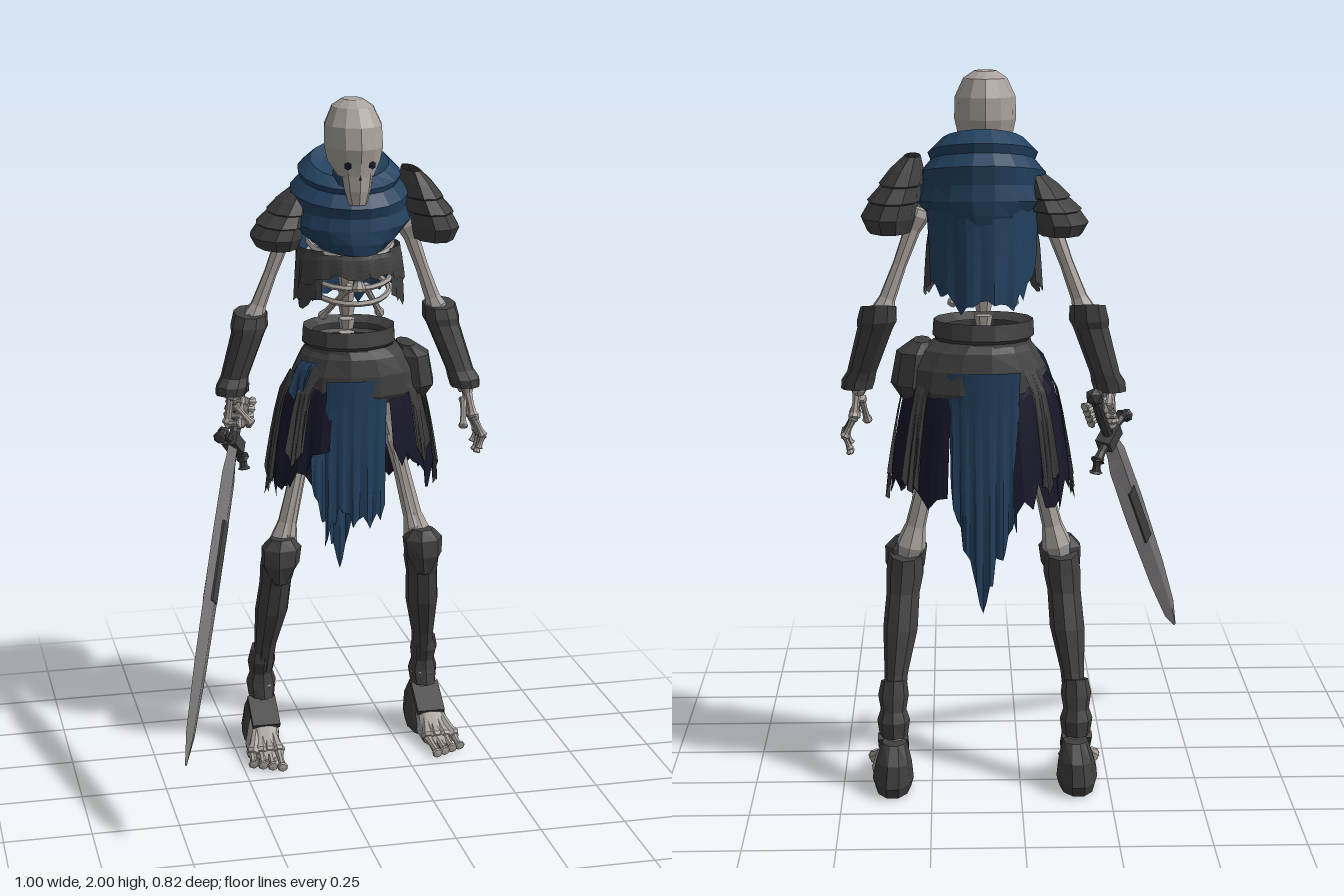
import * as THREE from 'three';

const material = (name, color) => new THREE.MeshStandardMaterial({ name, color, flatShading: true, side: THREE.DoubleSide });
const V = (x, y, z) => new THREE.Vector3(x, y, z);
const CX = 0.1; // the body's own centre line
const CZ = -0.22;

export function createModel() {
  const bone = material('bone', 0xaaa39d);
  const armour = material('dark leather', 0x404041);
  const blue = material('blue cloth', 0x23415f);
  const navy = material('navy cloth', 0x17172b);
  const steel = material('blade steel', 0x757274);
  const root = new THREE.Group();
  let seed = 7;
  const rnd = () => (seed = (seed * 16807) % 2147483647) / 2147483647;

  const add = (name, geometry, mat, parent = root) => {
    const mesh = new THREE.Mesh(geometry, mat);
    mesh.name = name;
    parent.add(mesh);
    return mesh;
  };

  // Surface through a grid of points, point(row, column)
  const grid = (rows, cols, point) => {
    const pos = [], idx = [];
    for (let i = 0; i <= rows; i++) for (let j = 0; j <= cols; j++) pos.push(...point(i, j));
    for (let i = 0; i < rows; i++) for (let j = 0; j < cols; j++) {
      const a = i * (cols + 1) + j, c = a + cols + 1;
      idx.push(a, a + 1, c, a + 1, c + 1, c);
    }
    const g = new THREE.BufferGeometry();
    g.setAttribute('position', new THREE.Float32BufferAttribute(pos, 3));
    g.setIndex(idx);
    g.computeVertexNormals();
    return g;
  };

  // Loft through elliptical rings from top to bottom: [x, y, z, rx, rz, tilt]
  const loft = (name, mat, rings, n = 10, capped = true, parent = root) => {
    const s = [...rings];
    if (capped) {
      const [t, b] = [s[0], s[s.length - 1]];
      s.unshift([t[0], t[1], t[2], 0, 0]);
      s.push([b[0], b[1], b[2], 0, 0]);
    }
    return add(name, grid(s.length - 1, n, (i, j) => {
      const [x, y, z, rx, rz, tilt = 0] = s[i], a = (j / n) * Math.PI * 2;
      return [x + Math.cos(a) * rx, y - tilt * Math.sin(a) * rz, z + Math.sin(a) * rz];
    }), mat, parent);
  };

  // Cloth wrapped round an ellipse, a = 0 at the front; hem lists heights along the lower edge
  const cloth = (name, mat, a0, a1, [y0, rx0, rz0], [rx1, rz1], hem, ragged = 0.04, cx = CX) => {
    const cols = hem.length * 3, low = [];
    for (let j = 0; j <= cols; j++) {
      const t = (j / cols) * (hem.length - 1), k = Math.min(Math.floor(t), hem.length - 2);
      low.push(THREE.MathUtils.lerp(hem[k], hem[k + 1], t - k) + (rnd() - 0.5) * 2 * ragged);
    }
    return add(name, grid(5, cols, (i, j) => {
      const v = i / 5, a = a0 + (a1 - a0) * (j / cols);
      const fold = 1 + 0.03 * v * Math.sin(j * 1.7);
      const rx = THREE.MathUtils.lerp(rx0, rx1, Math.sqrt(v)) * fold, rz = THREE.MathUtils.lerp(rz0, rz1, Math.sqrt(v)) * fold;
      return [cx + Math.sin(a) * rx, THREE.MathUtils.lerp(y0, low[j], v), CZ + Math.cos(a) * rz];
    }), mat);
  };

  // Bone with flared ends between two points
  const limb = (name, a, b, r, mat = bone, parent = root) => {
    const d = b.clone().sub(a), L = d.length();
    const profile = [[0, 0], [1.3, 0.02], [1.5, 0.08], [1, 0.2], [0.85, 0.5], [1, 0.8], [1.5, 0.92], [1.2, 0.98], [0, 1]];
    const g = new THREE.LatheGeometry(profile.map(([x, y]) => new THREE.Vector2(x * r, y * L)), 7);
    const m = add(name, g, mat, parent);
    m.position.copy(a);
    m.quaternion.setFromUnitVectors(V(0, 1, 0), d.normalize());
    return m;
  };

  // Skull, eye sockets, nose, jaw and the cloth round the neck
  const hx = 0.092;
  loft('skull', bone, [[hx, 2, -0.145, 0.03, 0.04], [hx, 1.98, -0.142, 0.06, 0.075], [hx, 1.93, -0.135, 0.083, 0.102],
    [hx, 1.87, -0.13, 0.085, 0.107], [hx, 1.83, -0.128, 0.076, 0.096], [hx, 1.79, -0.1, 0.052, 0.06]], 12);
  loft('jaw', bone, [[hx, 1.8, -0.08, 0.046, 0.042], [hx, 1.75, -0.075, 0.038, 0.034], [hx, 1.71, -0.072, 0.026, 0.022]], 8);
  loft('neckCloth', blue, [[hx, 1.82, -0.14, 0.055, 0.06], [hx, 1.75, -0.145, 0.062, 0.07], [hx, 1.67, -0.16, 0.07, 0.07]], 10);
  for (const s of [-1, 1]) {
    const eye = add('eyeSocket', new THREE.CylinderGeometry(0.012, 0.01, 0.008, 6), navy);
    eye.position.set(hx + s * 0.034, 1.825, -0.046);
    eye.rotation.set(Math.PI / 2, 0, -s * 0.45);
  }
  add('noseHole', new THREE.ConeGeometry(0.007, 0.022, 3), armour).position.set(hx, 1.795, -0.041);

  // Spine, sternum and ribs
  for (let i = 0; i < 13; i++)
    add('vertebra', new THREE.CylinderGeometry(0.026, 0.02, 0.03, 7), bone).position.set(CX, 1.2 + i * 0.042, -0.26 + 0.02 * Math.sin(i * 0.4));
  limb('sternum', V(CX, 1.6, -0.105), V(CX, 1.45, -0.09), 0.014);
  for (let i = 0; i < 4; i++) {
    const rib = add('rib', new THREE.TorusGeometry(1, 0.07, 5, 20), bone);
    rib.scale.set(0.13 - Math.abs(i - 2) * 0.008, 0.115, 0.13);
    rib.position.set(CX, 1.445 + i * 0.045, -0.205);
    rib.rotation.x = Math.PI / 2 + 0.25;
  }
  for (const s of [-1, 1])
    limb('floatingRib', V(CX + s * 0.02, 1.47, -0.1), V(CX + s * 0.09, 1.36, -0.19), 0.01);
  loft('pelvis', bone, [[CX, 1.24, CZ, 0.11, 0.09], [CX, 1.17, CZ, 0.12, 0.09], [CX, 1.08, CZ, 0.05, 0.05]], 9);

  // Chest leather: front strap and two ragged sides
  cloth('chestStrap', armour, -1.3, 1.3, [1.56, 0.15, 0.135], [0.165, 0.145], [1.46, 1.48, 1.5, 1.48, 1.5, 1.48, 1.46], 0.012);
  for (const s of [-1, 1])
    cloth('chestSide', armour, s * 0.7, s * 2.1, [1.57, 0.15, 0.135], [0.16, 0.14], [1.44, 1.39, 1.41, 1.44], 0.015);

  // Bunched cowl with folds, and the torn cape
  loft('cowl', blue, [[CX, 1.79, -0.2, 0, 0], [CX, 1.8, -0.205, 0.085, 0.075, 0.4], [CX, 1.815, -0.215, 0.115, 0.1, 0.4],
    [CX, 1.785, -0.22, 0.15, 0.145, 0.25], [CX, 1.765, -0.22, 0.142, 0.14, 0.22], [CX, 1.73, -0.222, 0.172, 0.167, 0.2],
    [CX, 1.69, -0.225, 0.168, 0.158, 0.15], [CX, 1.65, -0.225, 0.182, 0.162, 0.12], [CX, 1.61, -0.222, 0.145, 0.16, 0.12],
    [CX, 1.575, -0.22, 0.1, 0.153, 0.1]], 18, false);
  cloth('cape', blue, Math.PI - 1.25, Math.PI + 1.25, [1.72, 0.175, 0.155], [0.155, 0.155], [1.5, 1.4, 1.38, 1.41, 1.38, 1.4, 1.52], 0.03);

  // Stepped pauldrons; the right one sits lower and closer in
  for (const [name, s, x, y, k] of [['leftPauldron', 1, 0.29, 1.78, 1], ['rightPauldron', -1, -0.045, 1.73, 0.8]])
    loft(name, armour, [[0, 0, 0.022, 0.075], [0.015, -0.035, 0.045, 0.1], [0.03, -0.075, 0.062, 0.122], [0.033, -0.08, 0.055, 0.115],
      [0.05, -0.12, 0.074, 0.135], [0.053, -0.125, 0.066, 0.126], [0.066, -0.165, 0.076, 0.135], [0.064, -0.205, 0.06, 0.115]]
      .map(([o, h, rx, rz]) => [x + s * o, y + h * k, -0.245, rx, rz * (0.4 + 0.6 * k), 0]), 10, false);

  // Arms and bracers
  for (const s of [-1, 1]) {
    const X = (o) => CX + s * o, wz = s > 0 ? -0.19 : -0.245;
    limb('collarBone', V(X(0.02), 1.63, -0.13), V(X(0.18), 1.65, -0.24), 0.013);
    limb('upperArm', V(X(0.17), 1.64, -0.24), V(X(0.285), 1.33, -0.26), 0.023);
    limb('radius', V(X(0.28), 1.37, -0.25), V(X(0.35), 1.11, wz), 0.015);
    loft('bracer', armour, [[X(0.285), 1.37, -0.26, 0.05, 0.052, 0.2], [X(0.29), 1.33, -0.255, 0.056, 0.056], [X(0.295), 1.31, -0.25, 0.05, 0.051],
      [X(0.335), 1.18, wz - 0.01, 0.042, 0.042], [X(0.345), 1.155, wz, 0.048, 0.047], [X(0.35), 1.13, wz, 0.045, 0.045]], 9);
  }

  // Open left hand, and right hand closed on the grip
  for (let i = 0; i < 4; i++) {
    const z = -0.2 + i * 0.025, len = i === 0 || i === 3 ? 0.02 : 0;
    limb('palmBone', V(0.45, 1.13, -0.185 + i * 0.006), V(0.46, 1.045, z), 0.012);
    limb('finger', V(0.46, 1.05, z), V(0.488, 0.99, z + 0.01), 0.01);
    limb('fingerTip', V(0.488, 0.995, z + 0.01), V(0.472, 0.935 + len, z + 0.015), 0.008);
    const k = i * 0.024, p = V(-0.205 - k * 0.27, 1.09 - k * 0.75, -0.29 + k * 0.62);
    limb('gripPalm', V(-0.25, 1.13, -0.245), p.clone().add(V(-0.035, 0, -0.01)), 0.011);
    limb('gripFinger', p.clone().add(V(-0.035, 0, -0.01)), p.clone().add(V(0, 0.012, 0.035)), 0.011);
    limb('gripFingerTip', p.clone().add(V(0, 0.012, 0.035)), p.clone().add(V(0.03, 0, 0)), 0.01);
  }
  limb('thumb', V(0.44, 1.1, -0.17), V(0.425, 1.02, -0.115), 0.01);
  limb('gripThumb', V(-0.24, 1.1, -0.23), V(-0.19, 1.04, -0.22), 0.01);

  // Sword: local y runs from tip to pommel, x across the blade
  const sword = new THREE.Group();
  sword.name = 'sword';
  const up = V(0.255, 0.74, -0.62).normalize(), flat = V(0.87, 0.134, 0.517).normalize();
  sword.quaternion.setFromRotationMatrix(new THREE.Matrix4().makeBasis(up.clone().cross(flat), up, flat));
  sword.position.set(-0.25, 0.99, -0.205);
  root.add(sword);
  loft('blade', steel, [[0, 0, 0, 0.034, 0.014], [0, -0.06, 0, 0.037, 0.015], [0, -0.11, 0, 0.048, 0.016], [0, -0.35, 0, 0.052, 0.015],
    [0, -0.7, 0, 0.045, 0.013], [0, -0.9, 0, 0.031, 0.01], [0, -0.99, 0, 0.006, 0.003]], 4, true, sword);
  for (const s of [-1, 1])
    add('fuller', new THREE.BoxGeometry(0.034, 0.25, 0.008), armour, sword).position.set(0, -0.38, s * 0.0115);
  loft('grip', armour, [[0, 0.17, 0, 0.014, 0.014], [0, 0.09, 0, 0.018, 0.018], [0, 0, 0, 0.015, 0.015]], 8, true, sword);
  add('pommel', new THREE.IcosahedronGeometry(0.027, 0), armour, sword).position.y = 0.185;
  add('guardBlock', new THREE.BoxGeometry(0.07, 0.04, 0.045), armour, sword);
  for (const s of [-1, 1]) {
    limb('guardArm', V(s * 0.02, 0, 0), V(s * 0.085, -0.008, 0), 0.014, armour, sword);
    limb('guardTip', V(s * 0.075, 0, 0), V(s * 0.105, -0.035, 0), 0.013, armour, sword);
  }

  // Belt, hip wrap and the bulge of the sash on the left hip
  loft('belt', armour, [[CX, 1.31, CZ, 0.11, 0.1], [CX, 1.33, CZ, 0.137, 0.125], [CX, 1.285, CZ, 0.14, 0.132], [CX, 1.275, CZ, 0.13, 0.122],
    [CX, 1.23, CZ, 0.14, 0.128]], 14, false);
  loft('hipWrap', armour, [[0.105, 1.275, CZ, 0.13, 0.12], [0.115, 1.25, CZ, 0.16, 0.135], [0.12, 1.2, CZ, 0.192, 0.143], [0.12, 1.14, CZ, 0.2, 0.143],
    [0.12, 1.115, CZ, 0.18, 0.13]], 14, false);
  loft('sashBulge', armour, [[0.27, 1.27, -0.21, 0.025, 0.06], [0.285, 1.24, -0.21, 0.055, 0.085], [0.295, 1.15, -0.21, 0.062, 0.09], [0.29, 1.11, -0.21, 0.04, 0.06]], 8);

  // Torn skirt with leather strips over it
  for (const s of [-1, 1]) {
    cloth('skirt', navy, s * 0.4, s * 2.75, [1.2, 0.17, 0.128], [0.245, 0.142], [0.98, 0.9, 0.86, 0.92, 0.83, 0.85, 0.82], 0.04, 0.11);
    for (const [a, w, hem] of [[0.85, 0.13, 0.94], [1.55, 0.25, 0.85], [2.3, 0.14, 0.87]])
      cloth('skirtStrip', armour, s * (a - w), s * (a + w), [1.2, 0.182, 0.135], [0.258, 0.15], [hem + 0.04, hem, hem - 0.02, hem + 0.05], 0.02, 0.11);
  }
  cloth('hipScrap', blue, -1.25, -0.85, [1.24, 0.178, 0.15], [0.222, 0.152], [1.15, 1.12, 1.16], 0.015, 0.12);
  cloth('frontTabard', blue, -0.5, 0.45, [1.19, 0.195, 0.145], [0.2, 0.132], [0.66, 0.8, 0.76, 0.8, 0.74, 0.82], 0.03);
  cloth('backTabard', blue, Math.PI - 0.52, Math.PI + 0.52, [1.2, 0.2, 0.147], [0.185, 0.135], [0.88, 0.72, 0.64, 0.52, 0.66, 0.72, 0.86], 0.025);

  // Legs, greaves and feet
  for (const s of [-1, 1]) {
    const X = (o) => CX + s * o;
    limb('thighBone', V(X(0.1), 1.13, -0.22), V(X(0.215), 0.64, -0.19), 0.029);
    limb('thighRidge', V(X(0.125), 1.0, -0.205), V(X(0.195), 0.68, -0.175), 0.015);
    loft('greave', armour, [[X(0.22), 0.66, -0.19, 0.048, 0.055, -0.3], [X(0.222), 0.6, -0.19, 0.054, 0.06], [X(0.227), 0.55, -0.205, 0.048, 0.052],
      [X(0.235), 0.45, -0.23, 0.05, 0.056], [X(0.248), 0.33, -0.265, 0.034, 0.042], [X(0.253), 0.24, -0.29, 0.03, 0.04]], 9);
    loft('kneeGuard', armour, [[X(0.215), 0.7, -0.165, 0.035, 0.035], [X(0.217), 0.67, -0.165, 0.062, 0.05], [X(0.22), 0.62, -0.165, 0.058, 0.053],
      [X(0.222), 0.56, -0.175, 0.025, 0.04]], 7);
    loft('ankleCuff', armour, [[X(0.255), 0.31, -0.28, 0.036, 0.042, 0.2], [X(0.257), 0.27, -0.285, 0.043, 0.047], [X(0.257), 0.23, -0.295, 0.036, 0.043],
      [X(0.257), 0.2, -0.298, 0.046, 0.05], [X(0.257), 0.155, -0.29, 0.04, 0.055]], 8);
    limb('ankleBone', V(X(0.255), 0.2, -0.29), V(X(0.255), 0.06, -0.28), 0.028);
    loft('heelGuard', armour, [[X(0.255), 0.14, -0.31, 0.035, 0.045], [X(0.257), 0.085, -0.31, 0.05, 0.09, 0.1], [X(0.26), 0.03, -0.3, 0.058, 0.11],
      [X(0.26), 0, -0.295, 0.05, 0.1]], 10);
    loft('footBones', bone, [[X(0.257), 0.12, -0.255, 0.035, 0.03, 0.3], [X(0.265), 0.07, -0.215, 0.045, 0.075, 0.3], [X(0.272), 0.02, -0.19, 0.052, 0.1],
      [X(0.272), 0.003, -0.19, 0.048, 0.1]], 9);
    const instep = add('instepPlate', new THREE.BoxGeometry(0.085, 0.02, 0.11), armour);
    instep.position.set(X(0.26), 0.115, -0.24);
    instep.rotation.x = 0.6;
    for (let i = 0; i < 4; i++) {
      const o = 0.235 + i * 0.027, tip = -0.035 - i * 0.014;
      limb('footBone', V(X(0.25 + i * 0.007), 0.11, -0.27), V(X(o), 0.025, -0.125), 0.015);
      limb('toe', V(X(o), 0.026, -0.135), V(X(o + 0.006), 0.014, tip), 0.011);
    }
  }
  return root;
}
